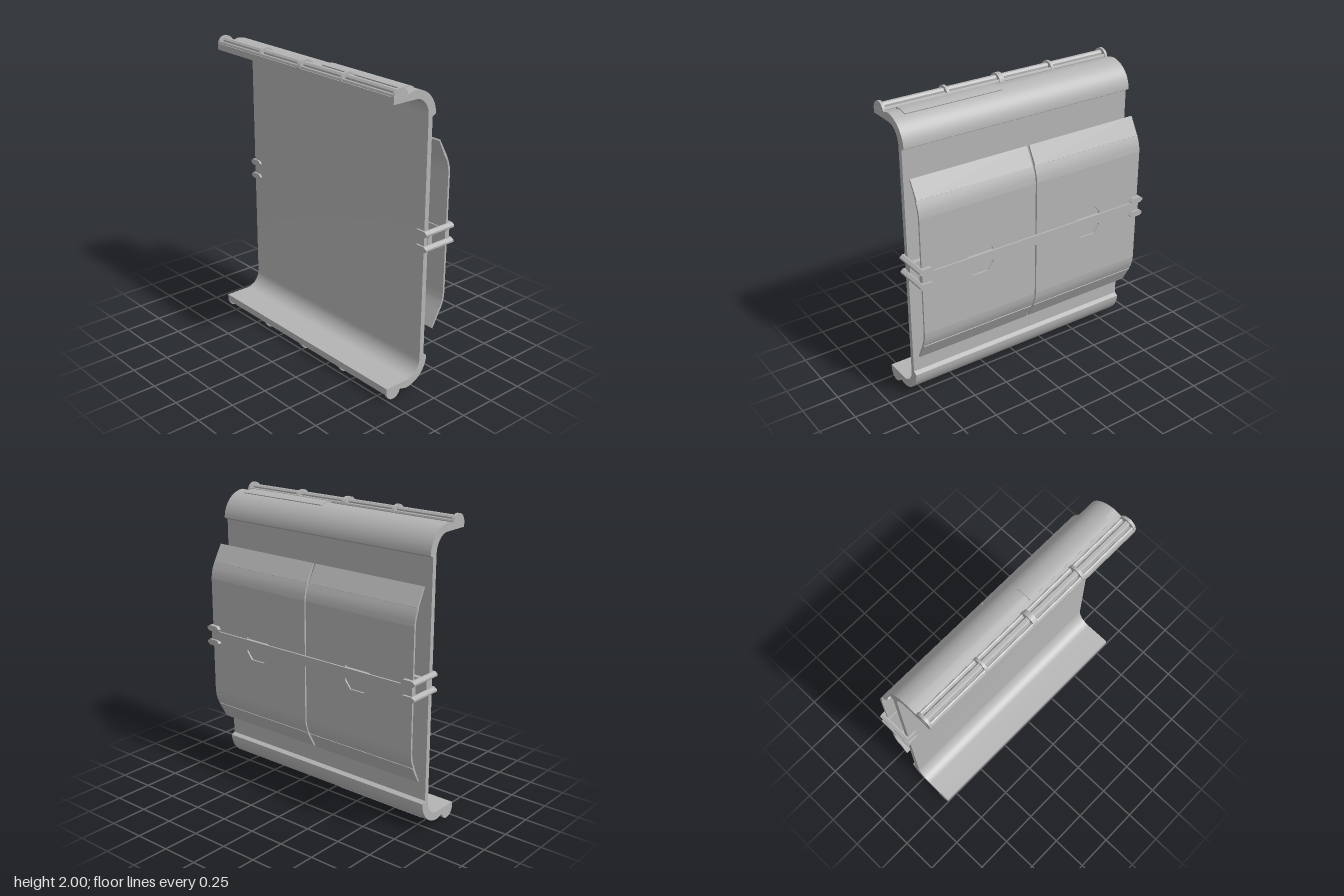
import * as THREE from 'three';
import { toCreasedNormals } from 'three/addons/utils/BufferGeometryUtils.js';

const plastic = new THREE.MeshStandardMaterial({ name: 'plainGrey', color: 0xb4b4b4 });

const toShape = (pts) => new THREE.Shape(pts.map(([a, b]) => new THREE.Vector2(a, b)));
const flip = (pts) => pts.map(([a, b]) => [a, 2 - b]);

// arc points, angles in degrees
function arc(cx, cy, rx, ry, from, to, n) {
  const pts = [];
  for (let i = 0; i <= n; i++) {
    const t = THREE.MathUtils.degToRad(from + (to - from) * i / n);
    pts.push([cx + rx * Math.cos(t), cy + ry * Math.sin(t)]);
  }
  return pts;
}

function add(parent, name, geometry) {
  const mesh = new THREE.Mesh(geometry, plastic);
  mesh.name = name;
  parent.add(mesh);
  return mesh;
}

// side profile [z, y] extruded from x0 to x1
function alongX(pts, x0, x1) {
  const g = new THREE.ExtrudeGeometry(toShape(pts), { depth: x1 - x0, bevelEnabled: false });
  g.rotateY(-Math.PI / 2);
  g.translate(x1, 0, 0);
  return toCreasedNormals(g, 0.4);
}

// front shape [x, y] extruded from z0 to z1
function alongZ(shape, z0, z1) {
  const g = new THREE.ExtrudeGeometry(shape, { depth: z1 - z0, bevelEnabled: false });
  g.translate(0, 0, z0);
  return g;
}

function box(parent, name, x0, x1, y0, y1, z0, z1) {
  const g = new THREE.BoxGeometry(x1 - x0, y1 - y0, z1 - z0);
  g.translate((x0 + x1) / 2, (y0 + y1) / 2, (z0 + z1) / 2);
  return add(parent, name, g);
}

// rail, ribs and raised plate on the upper flange
function flangeDetails() {
  const group = new THREE.Group();
  for (const [x, w] of [[-0.83, 0.018], [-0.39, 0.018], [0, 0.034], [0.39, 0.018], [0.83, 0.018]]) {
    const rib = [[0.255, 1.93], ...arc(0.198, 1.943, 0.057, 0.057, 0, 180, 20), [0.141, 1.93]];
    add(group, 'rib', alongX(rib, x - w / 2, x + w / 2));
  }
  add(group, 'centreRail', alongX([[0.22, 1.95], [0.22, 1.973], [0.21, 1.985], [0.19, 1.985],
    [0.18, 1.973], [0.18, 1.95]], -0.825, 0.825));
  for (const z of [0.158, 0.238]) {
    add(group, 'sideRail', alongX(arc(z, 1.956, 0.011, 0.013, 0, 360, 8).slice(0, 8), -0.825, 0.825));
  }
  const plate = [...arc(0.09, 1.79, 0.181, 0.181, 78, 111, 8), ...arc(0.09, 1.79, 0.17, 0.17, 111, 78, 8)];
  add(group, 'coverPlate', alongX(plate, 0.08, 0.76));
  return group;
}

// one rear panel, covering x0 to x1
function rearPanel(x0, x1) {
  const group = new THREE.Group();
  group.name = 'rearPanel';
  const cx = (x0 + x1) / 2;
  const flat = toShape([[x0, 0.6], [x1, 0.6], [x1, 1.4], [x0, 1.4]]);
  const recess = [[cx - 0.095, 1.05], [cx - 0.055, 1.1], [cx + 0.055, 1.1], [cx + 0.095, 1.05],
    [cx + 0.095, 0.95], [cx + 0.055, 0.9], [cx - 0.055, 0.9], [cx - 0.095, 0.95]];
  flat.holes.push(new THREE.Path(recess.map(([a, b]) => new THREE.Vector2(a, b))));
  add(group, 'panelFace', alongZ(flat, -0.226, -0.212));
  add(group, 'handRecess', alongZ(toShape(recess), -0.215, -0.205));
  // curved shoulder and angled flap at each end
  const shoulder = [[-0.226, 1.4], [-0.222, 1.437], [-0.212, 1.473], [-0.196, 1.508],
    [-0.184, 1.502], [-0.199, 1.469], [-0.208, 1.435], [-0.212, 1.4]];
  const flap = [[-0.199, 1.51], [-0.134, 1.625], [-0.126, 1.618], [-0.184, 1.5]];
  for (const f of [(p) => p, flip]) {
    add(group, 'panelShoulder', alongX(f(shoulder), x0, x1));
    add(group, 'panelFlap', alongX(f(flap), x0 + 0.004, x1 - 0.004));
  }
  return group;
}

// C-shaped clip gripping one side edge
function clip(side, y) {
  const group = new THREE.Group();
  group.name = 'clip';
  const s = (pts) => toShape(pts.map(([x, dy]) => [side * x, y + dy]));
  const hex = [[0.765, 0], [0.785, 0.02], [0.85, 0.02], [0.87, 0.006], [0.87, -0.006],
    [0.85, -0.02], [0.785, -0.02]];
  const bar = [[0.842, 0.02], [0.852, 0.02], [0.87, 0.006], [0.87, -0.006], [0.852, -0.02], [0.842, -0.02]];
  add(group, 'frontTab', alongZ(s(hex), -0.03, -0.013));
  add(group, 'rearTab', alongZ(s(hex), -0.253, -0.228));
  add(group, 'sideBar', alongZ(s(bar), -0.253, -0.013));
  return group;
}

export function createModel() {
  const model = new THREE.Group();
  model.name = 'channelPanel';

  // main sheet with curled top and bottom flanges
  const inner = [[0.255, 1.91], ...arc(0.08, 1.795, 0.105, 0.115, 90, 180, 14)];
  const outer = [[-0.058, 1.78], [-0.085, 1.795], ...arc(0.09, 1.79, 0.175, 0.175, 175, 90, 16),
    [0.14, 1.952], [0.255, 1.952]];
  const profile = [...inner, ...flip(inner).reverse(), ...flip(outer).reverse(), ...outer];
  add(model, 'mainSheet', alongX(profile, -0.84, 0.84));

  // flange fittings, repeated below by a half turn
  const top = flangeDetails();
  top.name = 'topFlangeFittings';
  const bottom = flangeDetails();
  bottom.name = 'bottomFlangeFittings';
  bottom.rotation.z = Math.PI;
  bottom.position.y = 2;
  model.add(top, bottom);

  // rear panels, straps and clips
  model.add(rearPanel(-0.84, -0.005), rearPanel(0.005, 0.84));
  box(model, 'rearStrap', -0.845, 0.845, 0.972, 1.038, -0.238, -0.203);
  box(model, 'sheetStrap', -0.845, 0.845, 0.972, 1.038, -0.09, -0.056);
  for (const side of [-1, 1]) for (const y of [0.955, 1.055]) model.add(clip(side, y));

  return model;
}
